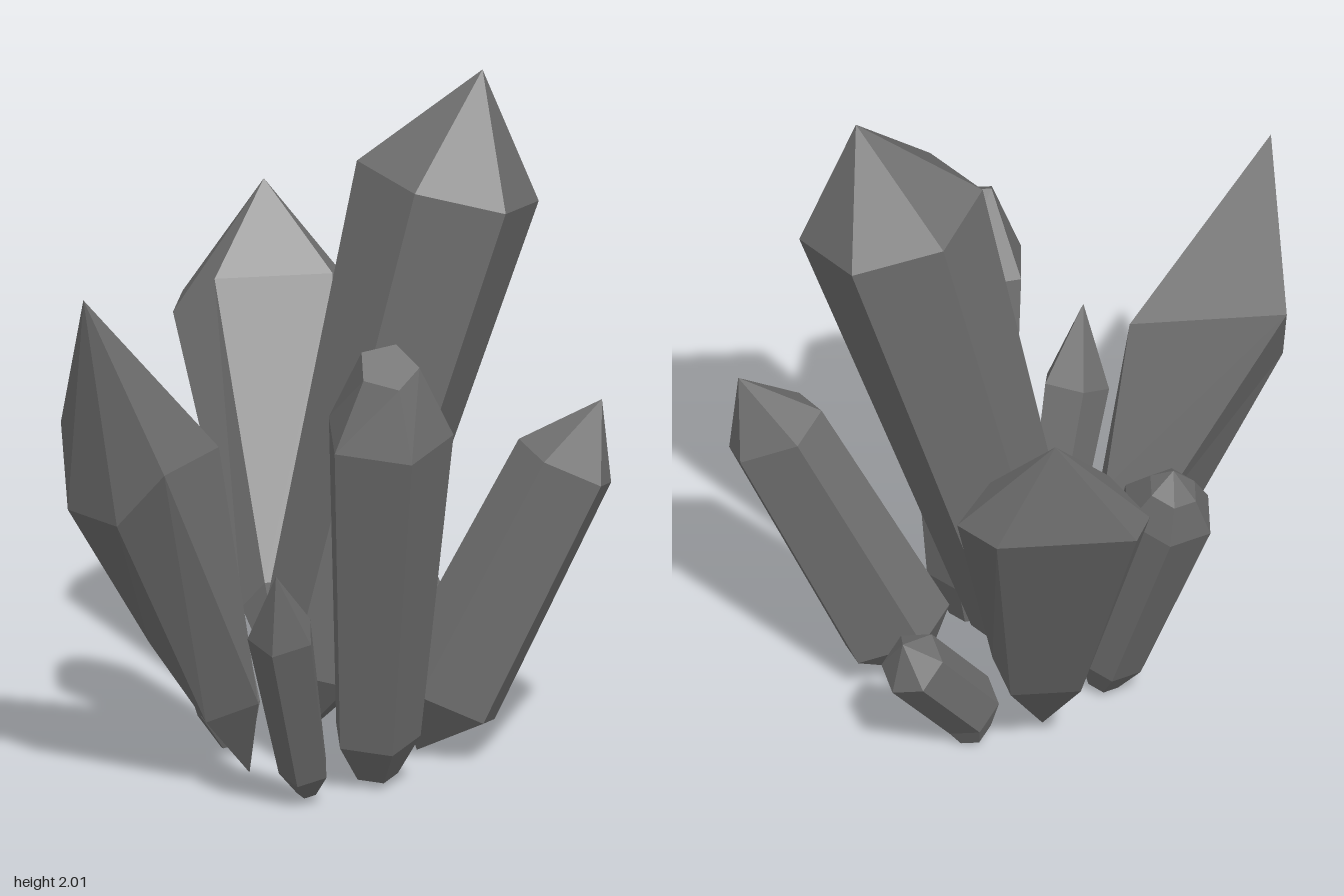
import * as THREE from 'three';

const V = (p) => new THREE.Vector3(...p);
const material = new THREE.MeshStandardMaterial({ color: 0x6e6e6e, flatShading: true });

// Ring of corners around a centre, square to the axis; angle 0 points the way the crystal leans
function ring([x, y, z, r], axis, angles) {
  const u = new THREE.Vector3(axis.x, 0, axis.z);
  u.addScaledVector(axis, -u.dot(axis)).normalize();
  const v = new THREE.Vector3().crossVectors(axis, u);
  return angles.map((deg) => {
    const a = THREE.MathUtils.degToRad(deg);
    return new THREE.Vector3(x, y, z)
      .addScaledVector(u, r * Math.cos(a))
      .addScaledVector(v, r * Math.sin(a));
  });
}

// Faceted shell through the rings (bottom to top), closed with a point at each end
function loft(name, bottom, rings, tip) {
  const pos = [];
  const tri = (...pts) => pts.forEach((p) => pos.push(p.x, p.y, p.z));
  const n = rings[0].length;
  const last = rings[rings.length - 1];
  for (let i = 0; i < n; i++) {
    const j = (i + 1) % n;
    tri(rings[0][j], rings[0][i], bottom);
    for (let k = 0; k + 1 < rings.length; k++) {
      const a = rings[k], b = rings[k + 1];
      tri(a[i], a[j], b[j]);
      tri(a[i], b[j], b[i]);
    }
    tri(last[i], last[j], tip);
  }
  const geo = new THREE.BufferGeometry();
  geo.setAttribute('position', new THREE.Float32BufferAttribute(pos, 3));
  geo.computeVertexNormals();
  const mesh = new THREE.Mesh(geo, material);
  mesh.name = name;
  return mesh;
}

const even = (n, phase = 0) => Array.from({ length: n }, (_, i) => phase + (i * 360) / n);

// low and high: [x, y, z, radius] of the shaft ends; foot and cap: optional smaller end rings
function crystal({ name, angles, low, high, bottom, tip, foot, cap, capAxis }) {
  const axis = V(high.slice(0, 3)).sub(V(low.slice(0, 3))).normalize();
  const rings = [ring(low, axis, angles), ring(high, axis, angles)];
  if (foot) rings.unshift(ring(foot, axis, angles));
  if (cap) rings.push(ring(cap, capAxis ? V(capAxis).normalize() : axis, angles));
  return loft(name, V(bottom || foot.slice(0, 3)), rings, V(tip || cap.slice(0, 3)));
}

export function createModel() {
  const group = new THREE.Group();
  group.name = 'crystalCluster';

  const crystals = [
    { name: 'mainCrystal', angles: even(6),
      low: [-0.04, 0.25, 0.05, 0.167], high: [0.35, 1.675, 0.055, 0.271],
      bottom: [-0.1, 0.02, 0.05], tip: [0.45, 2, 0.055] },
    { name: 'frontCrystal', angles: even(5, 13),
      foot: [0.09, 0.02, 0.36, 0.065], low: [0.085, 0.14, 0.39, 0.13],
      high: [0.085, 1.09, 0.585, 0.192],
      cap: [0.08, 1.31, 0.645, 0.09], capAxis: [0, 0.83, 0.55] },
    { name: 'rightCrystal', angles: [0, 42, 120, 180, 240, 318],
      low: [0.325, 0.17, 0.12, 0.165], high: [0.67, 0.86, 0.16, 0.147],
      bottom: [0.25, 0.01, 0.12], tip: [0.775, 1.04, 0.17] },
    { name: 'backLeftCrystal', angles: even(6, 15),
      foot: [-0.25, 0.02, 0.01, 0.05], low: [-0.27, 0.12, -0.01, 0.1],
      high: [-0.42, 0.74, -0.165, 0.14],
      cap: [-0.43, 0.85, -0.215, 0.075], tip: [-0.43, 0.92, -0.225] },
    { name: 'smallFrontCrystal', angles: even(5),
      foot: [-0.13, 0.02, 0.51, 0.03], low: [-0.14, 0.09, 0.53, 0.075],
      high: [-0.235, 0.55, 0.71, 0.1], tip: [-0.27, 0.755, 0.81] },
    { name: 'smallBackCrystal', angles: even(6),
      foot: [0.14, 0.03, -0.19, 0.06], low: [0.15, 0.1, -0.185, 0.098],
      high: [0.325, 0.36, -0.32, 0.1], tip: [0.355, 0.455, -0.355] },
  ];
  crystals.forEach((c) => group.add(crystal(c)));

  // Irregular crystal with slanted shoulders
  const leftLower = [[-0.25, 0.25, 0.385], [-0.28, 0.5, 0.27], [-0.4, 0.5, 0.11], [-0.55, 0.42, 0.3], [-0.4, 0.2, 0.38]];
  const leftUpper = [[-0.57, 1.03, 0.68], [-0.36, 1.01, 0.36], [-0.8, 1.08, 0.27], [-0.8, 0.855, 0.39], [-0.69, 0.855, 0.58]];
  group.add(loft('leftCrystal', V([-0.25, 0, 0.23]), [leftLower.map(V), leftUpper.map(V)], V([-0.78, 1.52, 0.54])));

  // Broad flattened crystal leaning backwards
  const backLower = [[-0.13, 0.42, -0.23], [0.05, 0.42, -0.22], [0.09, 0.32, -0.26], [0.05, 0.28, -0.39], [-0.15, 0.28, -0.39], [-0.19, 0.34, -0.27]];
  const backUpper = [[-0.21, 1.21, -0.62], [0.13, 1.21, -0.62], [0.23, 1.11, -0.68], [0.13, 1.12, -0.815], [-0.27, 1.12, -0.815], [-0.32, 1.1, -0.68]];
  group.add(loft('backCrystal', V([-0.06, 0.02, -0.18]), [backLower.map(V), backUpper.map(V)], V([-0.04, 1.45, -0.79])));

  return group;
}
